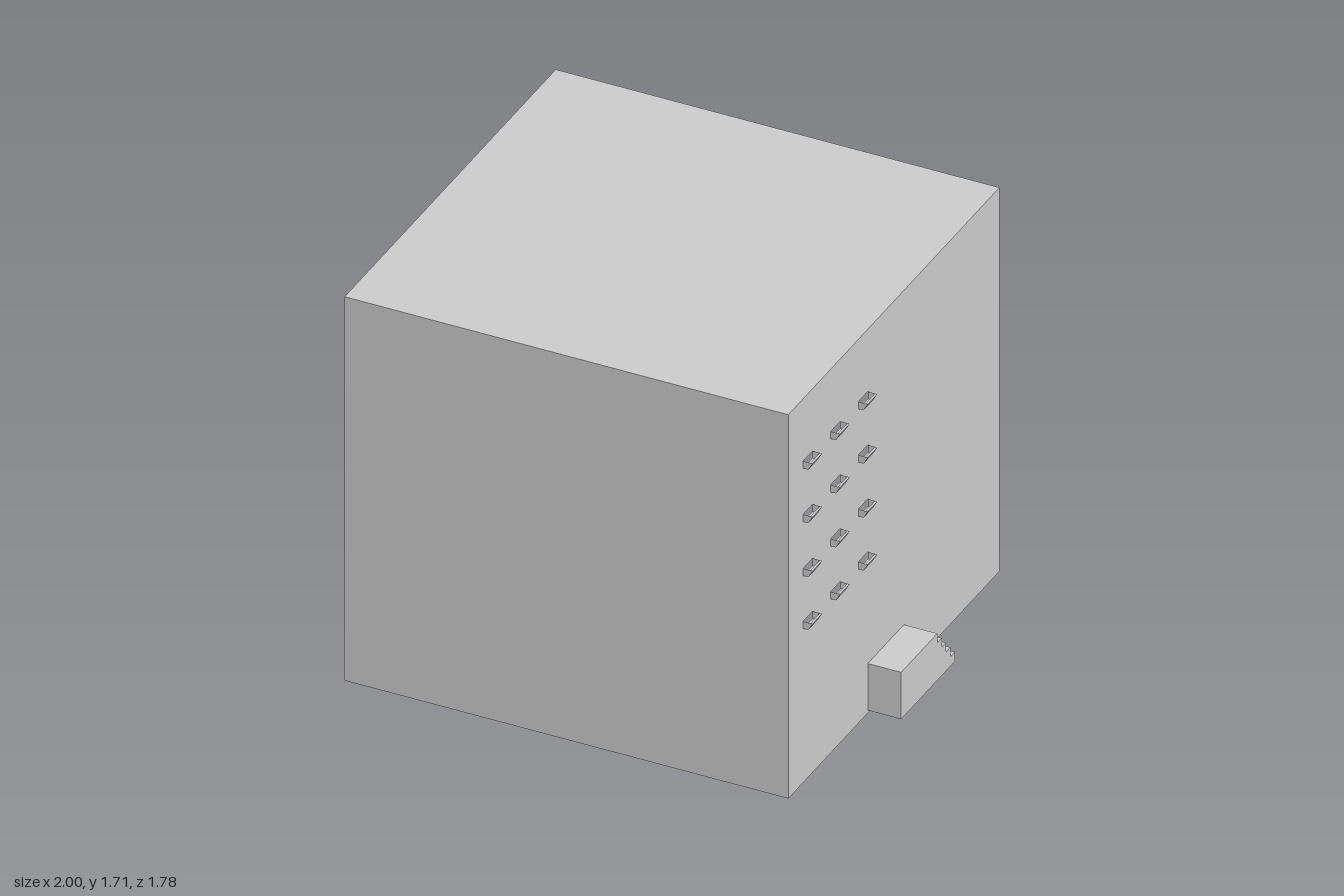
import * as THREE from 'three';

const mat = new THREE.MeshStandardMaterial({ color: 0xcccccc, side: THREE.DoubleSide, flatShading: true });
const X0 = -1, X1 = 0.86, Z = 0.89, H = 1.705; // shell extents

function add(parent, name, geometry) {
  const mesh = new THREE.Mesh(geometry, mat);
  mesh.name = name;
  parent.add(mesh);
  return mesh;
}

// Flat sheet from corners listed counter-clockwise as seen from outside
function sheet(parent, name, corners) {
  const g = new THREE.BufferGeometry();
  g.setAttribute('position', new THREE.Float32BufferAttribute(corners.flat(), 3));
  const index = [];
  for (let i = 1; i < corners.length - 1; i++) index.push(0, i, i + 1);
  g.setIndex(index);
  g.computeVertexNormals();
  return add(parent, name, g);
}

// Outline in (z, y) turned into a sheet facing +x
function sideSheet(parent, name, x, outline, holes = []) {
  const path = (pts) => pts.map(([z, y]) => new THREE.Vector2(-z, y));
  const shape = new THREE.Shape(path(outline));
  for (const h of holes) shape.holes.push(new THREE.Path(path(h)));
  const mesh = add(parent, name, new THREE.ShapeGeometry(shape));
  mesh.rotation.y = Math.PI / 2;
  mesh.position.x = x;
  return mesh;
}

// Small flared trough on the wall, open at the top and towards the wall
function makeTrough(z, y) {
  const g = new THREE.Group();
  g.name = 'wallTrough';
  const w = 0.04, h = 0.016, a = 0.022, b = 0.04;
  sheet(g, 'troughFront', [[a, -h, w], [a, -h, -w], [b, h, -w], [b, h, w]]);
  sheet(g, 'troughFloor', [[0, -h, -w], [a, -h, -w], [a, -h, w], [0, -h, w]]);
  sheet(g, 'troughRim', [[b - 0.01, h, w], [b, h, w], [b, h, -w], [b - 0.01, h, -w]]);
  sheet(g, 'troughEndFront', [[0, -h, w], [a, -h, w], [b, h, w], [0, h, w]]);
  sheet(g, 'troughEndBack', [[0, h, -w], [b, h, -w], [a, -h, -w], [0, -h, -w]]);
  g.position.set(X1, y, z);
  return g;
}

export function createModel() {
  const model = new THREE.Group();
  model.name = 'building';

  // Shell: roof and three walls, open at the back and underneath
  sheet(model, 'roof', [[X0, H, Z], [X1, H, Z], [X1, H, -Z], [X0, H, -Z]]);
  sheet(model, 'frontWall', [[X0, 0, Z], [X1, 0, Z], [X1, H, Z], [X0, H, Z]]);
  sheet(model, 'plainSideWall', [[X0, 0, -Z], [X0, 0, Z], [X0, H, Z], [X0, H, -Z]]);

  // Side wall with a slot behind each trough
  const holes = [];
  for (const y of [0.70, 0.935, 1.175, 1.412]) {
    for (const z of [0.26, 0.493, 0.725]) {
      holes.push([[z + 0.04, y - 0.016], [z - 0.04, y - 0.016], [z - 0.04, y + 0.016], [z + 0.04, y + 0.016]]);
      model.add(makeTrough(z, y));
    }
  }
  sideSheet(model, 'troughWall', X1, [[Z, 0], [-Z, 0], [-Z, H], [Z, H]], holes);

  // Entrance landing with open-riser steps
  const entrance = new THREE.Group();
  entrance.name = 'entrance';
  model.add(entrance);
  const top = 0.22, low = 0.012, zf = 0.22, zb = -0.085, xo = 1, xi = 0.945;
  sheet(entrance, 'landing', [[X1, top, zf], [xo, top, zf], [xo, top, zb], [X1, top, zb]]);
  sheet(entrance, 'landingFront', [[X1, low, zf], [xo, low, zf], [xo, top, zf], [X1, top, zf]]);
  const outline = [[zf, low], [zf, top], [zb, top]];
  const run = 0.037, rise = 0.0415;
  for (let i = 1; i <= 4; i++) {
    const y = top - i * rise, z0 = zb - (i - 1) * run, z1 = z0 - run;
    outline.push([z0, y], [z1, y]);
    sheet(entrance, 'tread', [[xi, y, z0], [xo, y, z0], [xo, y, z1], [xi, y, z1]]);
  }
  outline.push([zb - 4 * run, low]);
  sideSheet(entrance, 'stepSide', xo, outline);

  return model;
}
